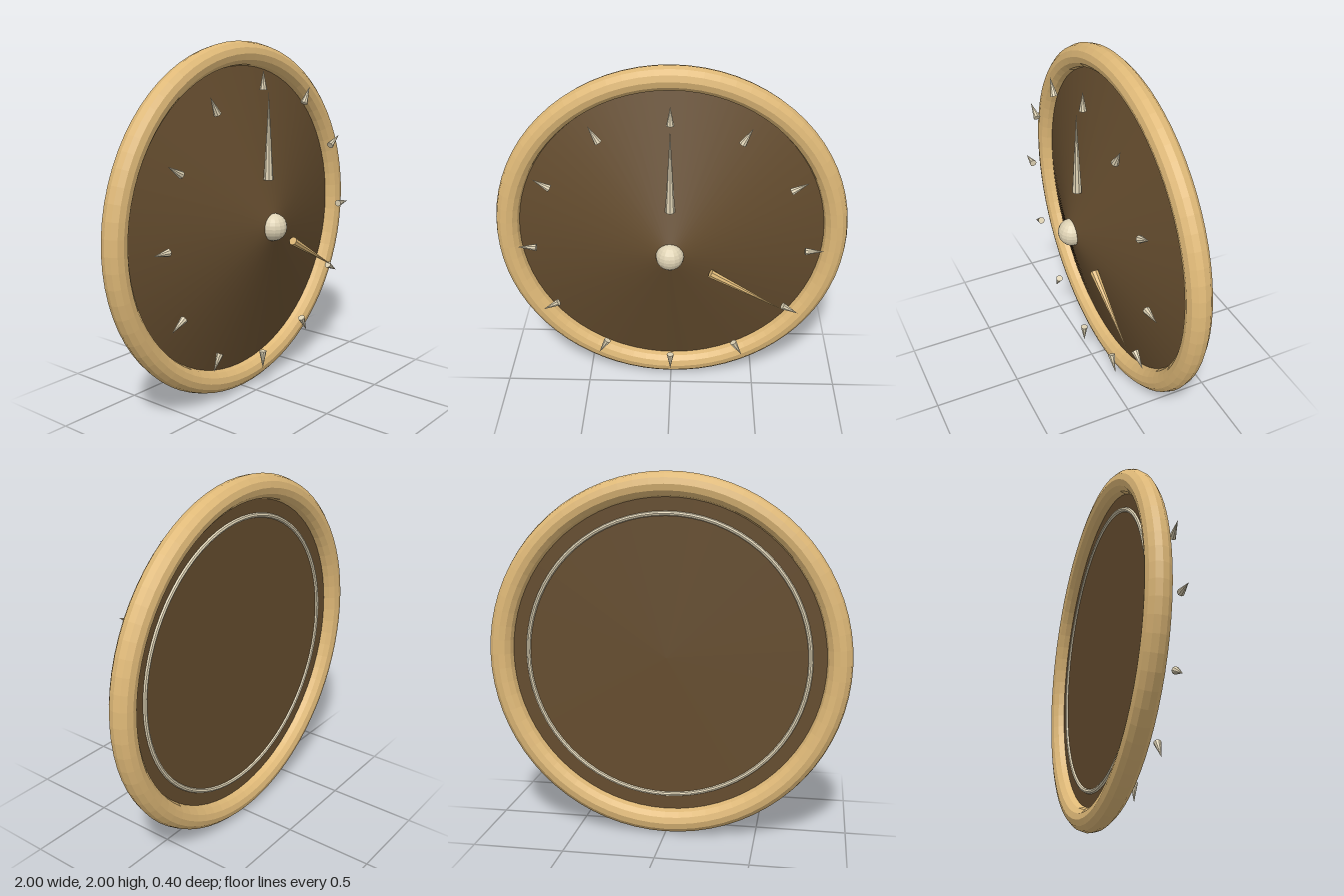
import * as THREE from 'three';

const flat = (name, color) => {
  const m = new THREE.MeshStandardMaterial({ color });
  m.name = name;
  return m;
};

export function createModel() {
  const group = new THREE.Group();
  group.name = 'wallClock';
  const gold = flat('gold wood', 0xdeb877);
  const brown = flat('dark brown', 0x644c2e);
  const cream = flat('cream', 0xded2b4);

  const add = (name, geometry, material, y, z) => {
    const mesh = new THREE.Mesh(geometry, material);
    mesh.name = name;
    mesh.position.set(0, y, z);
    group.add(mesh);
    return mesh;
  };

  // Flat-faceted geometry without touching the material
  const facet = (g) => {
    const f = g.toNonIndexed();
    f.computeVertexNormals();
    return f;
  };

  // Round rim
  add('rim', facet(new THREE.TorusGeometry(0.933, 0.067, 12, 72)), gold, 1, -0.133);

  // Conical dial, closed at the back
  const dial = new THREE.ConeGeometry(0.88, 0.28, 72);
  dial.rotateX(Math.PI / 2);
  add('dial', dial, brown, 1, 0.007);

  // Thin ring on the back and knob at the centre
  add('backRing', facet(new THREE.TorusGeometry(0.78, 0.013, 8, 72)), cream, 1, -0.133);
  add('centreKnob', facet(new THREE.SphereGeometry(0.077, 16, 12)), cream, 1, 0.122);

  // Spike pointing outwards at a clock hour, between two radii
  const spike = (name, hour, inner, outer, radius, z, material) => {
    const g = new THREE.ConeGeometry(radius, outer - inner, 8);
    g.translate(0, (inner + outer) / 2, 0);
    add(name, facet(g), material, 1, z).rotation.z = -hour * Math.PI / 6;
  };

  for (let h = 1; h <= 12; h++) spike('hourMarker' + h, h, 0.745, 0.85, 0.021, 0.05, cream);
  spike('minuteHand', 12, 0.26, 0.74, 0.027, 0.087, cream);
  spike('hourHand', 4, 0.26, 0.735, 0.025, 0.09, gold);

  return group;
}
